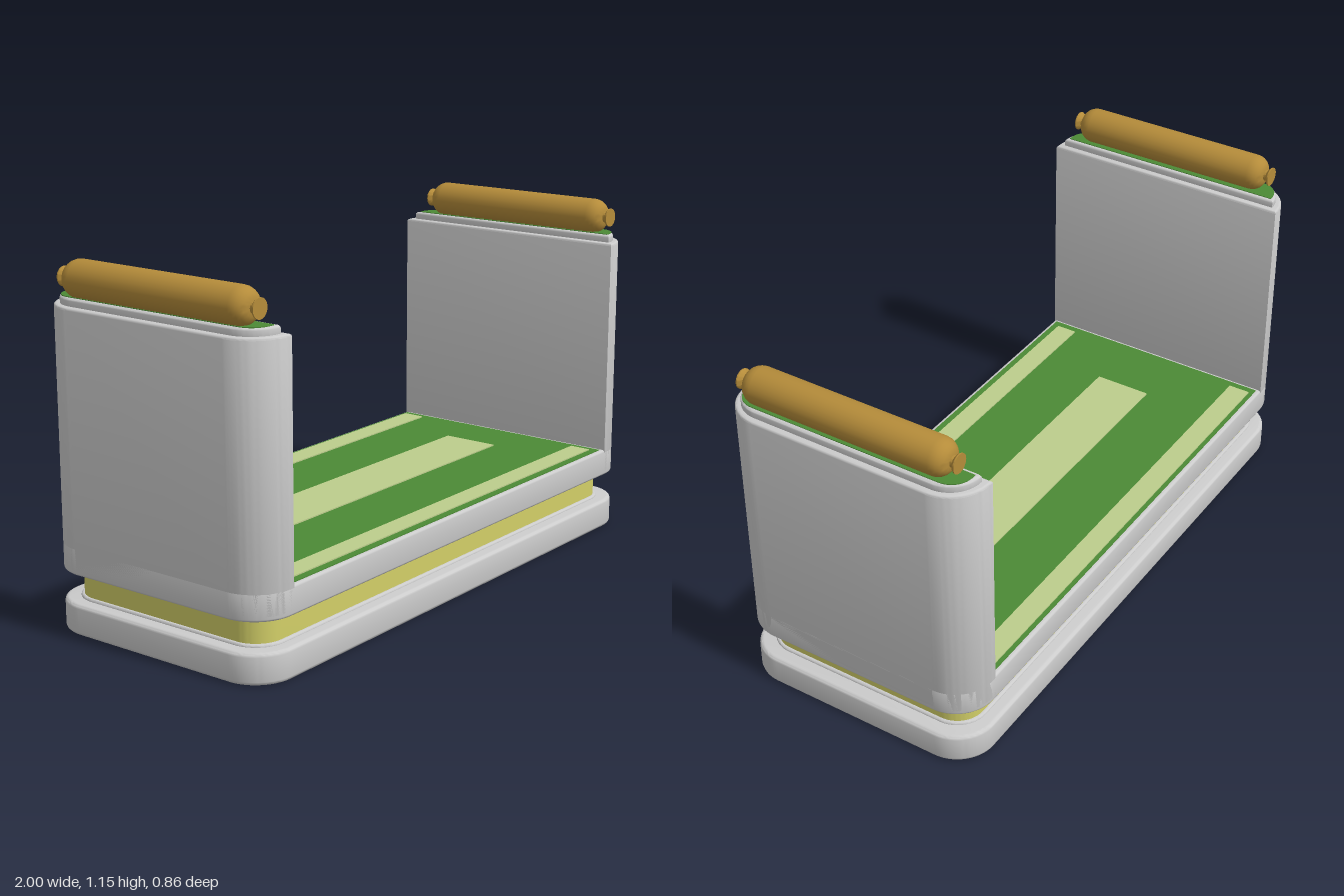
import * as THREE from 'three';
import { toCreasedNormals } from 'three/addons/utils/BufferGeometryUtils.js';

const mat = (color) => new THREE.MeshStandardMaterial({ color });
const grey = mat(0xcccccc), yellow = mat(0xd2cf68), green = mat(0x4c8a35);
const pale = mat(0xbccd8c), wood = mat(0xb58c3a);

// Plan outline with separate corner radii for the -x and +x ends
function outline(x0, x1, hz, rLeft, rRight) {
  const s = new THREE.Shape();
  const h = Math.PI / 2;
  const corner = (x, y, r, a) => {
    if (r > 0) s.absarc(x, y, r, a, a + h, false);
    else s.lineTo(x, y);
  };
  s.moveTo(x0 + rLeft, -hz);
  corner(x1 - rRight, -hz + rRight, rRight, -h);
  corner(x1 - rRight, hz - rRight, rRight, 0);
  corner(x0 + rLeft, hz - rLeft, rLeft, h);
  corner(x0 + rLeft, -hz + rLeft, rLeft, 2 * h);
  return s;
}

// Upright slab from y0 to y1 with softened rims
function slab(name, shape, y0, y1, bevel, material) {
  let g = new THREE.ExtrudeGeometry(shape, {
    depth: y1 - y0 - 2 * bevel, curveSegments: 10, bevelEnabled: bevel > 0,
    bevelSize: bevel, bevelThickness: bevel, bevelOffset: -bevel, bevelSegments: 3,
  });
  g.translate(0, 0, bevel);
  g.rotateX(-Math.PI / 2);
  g.translate(0, y0, 0);
  g = toCreasedNormals(g, 0.7);
  const mesh = new THREE.Mesh(g, material);
  mesh.name = name;
  return mesh;
}

function strip(name, x0, x1, z0, z1) {
  const m = new THREE.Mesh(new THREE.BoxGeometry(x1 - x0, 0.004, z1 - z0), pale);
  m.position.set((x0 + x1) / 2, 0.288, (z0 + z1) / 2);
  m.name = name;
  return m;
}

// Round-ended bolster with a small flared knob at each end
function roll() {
  const half = [[0.031, 0.375], [0.031, 0.371], [0.027, 0.366], [0.018, 0.36], [0.018, 0.353]];
  for (let i = 0; i <= 6; i++) {
    const a = (i / 6) * Math.PI / 2;
    half.push([0.018 + 0.041 * Math.sin(a), 0.306 + 0.047 * Math.cos(a)]);
  }
  const pts = [[0, -0.375], ...half.map(([r, z]) => [r, -z]),
    ...half.slice().reverse(), [0, 0.375]].map(([r, z]) => new THREE.Vector2(r, z));
  let g = new THREE.LatheGeometry(pts, 28);
  g.rotateX(Math.PI / 2);
  g = toCreasedNormals(g, 0.6);
  const m = new THREE.Mesh(g, wood);
  m.name = 'bolsterRoll';
  return m;
}

export function createModel() {
  const model = new THREE.Group();
  model.name = 'bench';

  // Plinth, recessed band and deck
  model.add(slab('plinth', outline(-1, 1, 0.428, 0.13, 0.13), 0, 0.098, 0.012, grey));
  model.add(slab('band', outline(-0.945, 0.94, 0.376, 0.09, 0.09), 0.08, 0.21, 0, yellow));
  model.add(slab('bandLowerFillet', outline(-0.955, 0.95, 0.386, 0.1, 0.1), 0.09, 0.106, 0.006, grey));
  model.add(slab('bandUpperFillet', outline(-0.955, 0.95, 0.386, 0.1, 0.1), 0.184, 0.2, 0.006, grey));
  model.add(slab('deck', outline(-1, 1, 0.428, 0.13, 0.13), 0.192, 0.283, 0.008, grey));

  // Green floor and its pale strips
  model.add(slab('floor', outline(-0.848, 0.843, 0.414, 0, 0), 0.275, 0.286, 0, green));
  model.add(strip('backStrip', -0.82, 0.815, -0.4, -0.325));
  model.add(strip('middleStrip', -0.62, 0.66, -0.1, 0.095));
  model.add(strip('frontStrip', -0.82, 0.815, 0.318, 0.39));

  // End walls, each with a stepped cap, green inlay and bolster
  for (const side of [-1, 1]) {
    const end = new THREE.Group();
    end.name = side > 0 ? 'leftEnd' : 'rightEnd';
    const plan = (inner, outer, hz, r) => side > 0
      ? outline(inner, outer, hz, 0, r) : outline(-outer, -inner, hz, r, 0);
    end.add(slab('wall', plan(0.857, 1, 0.428, 0.13), 0.2, 1.013, 0.008, grey));
    end.add(slab('capStep', plan(0.877, 0.98, 0.405, 0.1), 1, 1.037, 0.008, grey));
    end.add(slab('capInlay', plan(0.888, 0.969, 0.392, 0.07), 1.03, 1.039, 0, green));
    const bolster = roll();
    bolster.position.set(side > 0 ? 0.925 : -0.937, 1.09, 0.008);
    end.add(bolster);
    model.add(end);
  }
  return model;
}
